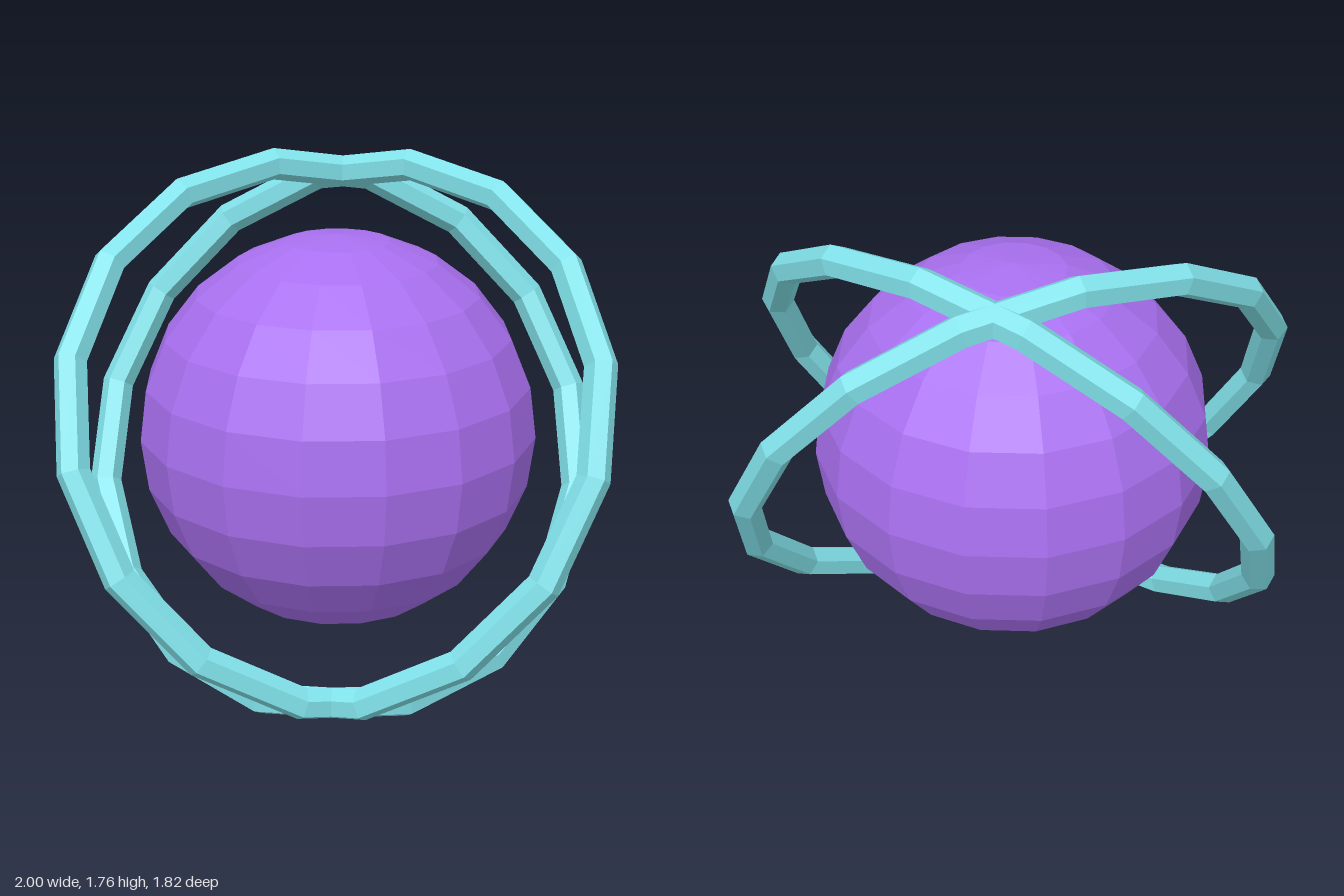
import * as THREE from 'three';

const CENTER_Y = 0.879;
const RING_RADIUS = 0.952;
const TUBE_RADIUS = 0.0555;

// Low-poly hoop: a hexagon swept around the y axis in 16 steps
function hoopGeometry() {
  const profile = [];
  for (let i = 0; i <= 6; i++) {
    const a = Math.PI / 6 + (i * Math.PI) / 3;
    profile.push(new THREE.Vector2(
      RING_RADIUS + TUBE_RADIUS * Math.cos(a),
      TUBE_RADIUS * Math.sin(a)
    ));
  }
  return new THREE.LatheGeometry(profile, 16);
}

export function createModel() {
  const model = new THREE.Group();
  model.name = 'ringedPlanet';

  const purple = new THREE.MeshStandardMaterial({ color: 0xa970f0, flatShading: true });
  const cyan = new THREE.MeshStandardMaterial({ color: 0x80e0e8, flatShading: true });

  // Faceted sphere
  const planet = new THREE.Mesh(new THREE.SphereGeometry(0.674, 16, 12), purple);
  planet.name = 'planet';
  planet.position.y = CENTER_Y;
  model.add(planet);

  // Two equally tilted hoops, the second turned 60 degrees about the vertical
  [['firstRing', 0], ['secondRing', Math.PI / 3]].forEach(([name, turn]) => {
    const geometry = hoopGeometry().rotateX(Math.PI / 3).rotateY(turn);
    const ring = new THREE.Mesh(geometry, cyan);
    ring.name = name;
    ring.position.y = CENTER_Y;
    model.add(ring);
  });

  return model;
}
